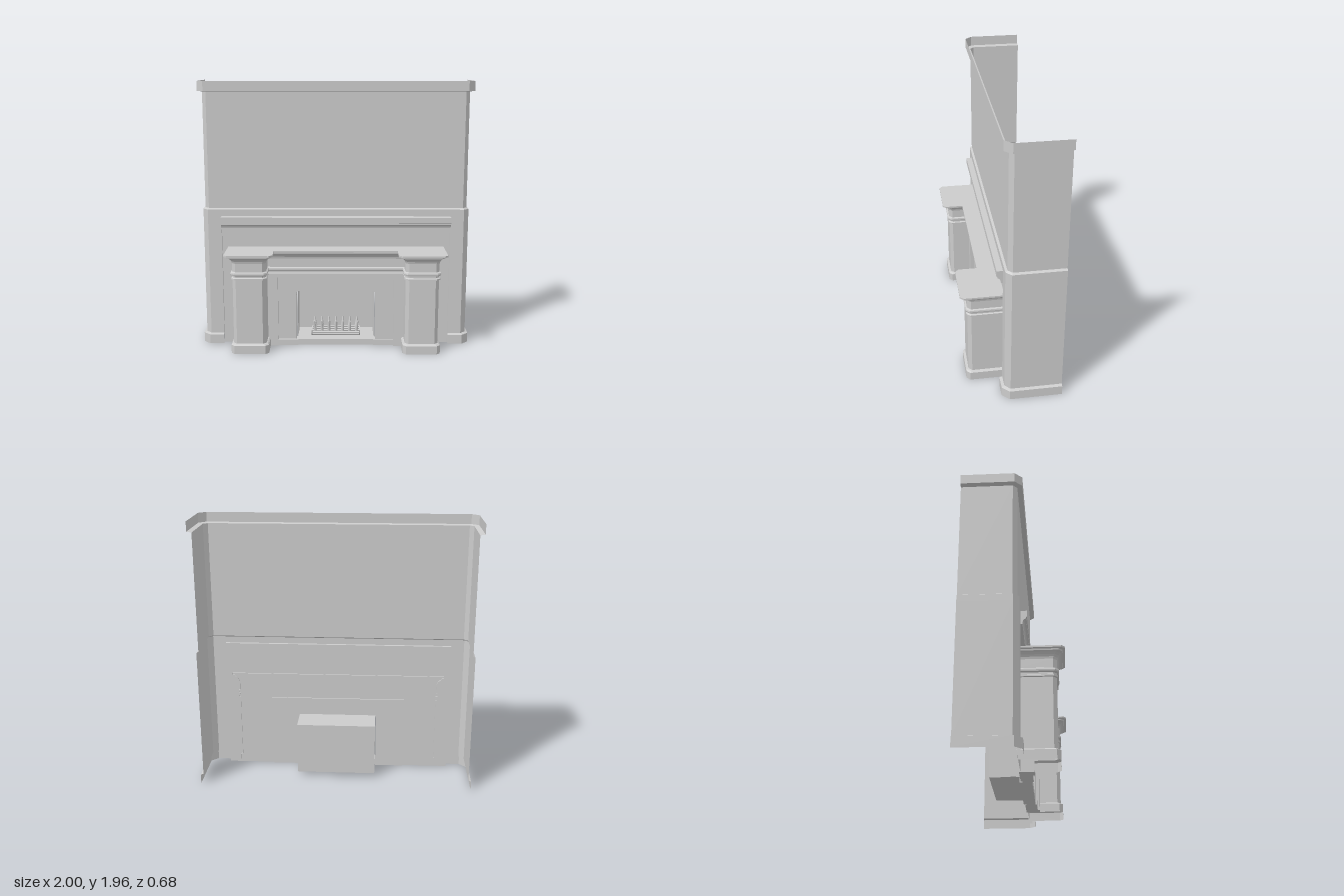
import * as THREE from 'three';

const mat = new THREE.MeshStandardMaterial({ color: 0xcccccc, side: THREE.DoubleSide });

export function createModel() {
  const root = new THREE.Group();

  const add = (name, geo, x = 0, y = 0, z = 0) => {
    const m = new THREE.Mesh(geo, mat);
    m.name = name;
    m.position.set(x, y, z);
    root.add(m);
    return m;
  };

  // box given by its limits
  const box = (name, x0, x1, y0, y1, z0, z1) =>
    add(name, new THREE.BoxGeometry(x1 - x0, y1 - y0, z1 - z0), (x0 + x1) / 2, (y0 + y1) / 2, (z0 + z1) / 2);

  // moulding: plan(d) gives the [x, z] outline pushed out by d, profile lists [d, y] going up
  const sweep = (name, plan, profile) => {
    const pos = [];
    for (let j = 0; j < profile.length - 1; j++) {
      const [d0, y0] = profile[j], [d1, y1] = profile[j + 1];
      const lo = plan(d0), hi = plan(d1);
      for (let i = 0; i < lo.length - 1; i++) {
        const a = [lo[i][0], y0, lo[i][1]], b = [lo[i + 1][0], y0, lo[i + 1][1]];
        const c = [hi[i + 1][0], y1, hi[i + 1][1]], e = [hi[i][0], y1, hi[i][1]];
        pos.push(...a, ...b, ...c, ...a, ...c, ...e);
      }
    }
    const g = new THREE.BufferGeometry();
    g.setAttribute('position', new THREE.Float32BufferAttribute(pos, 3));
    g.computeVertexNormals();
    return add(name, g);
  };

  const mirror = (half) => half.slice().reverse().map(([x, z]) => [-x, z]);
  const shape = (pts) => new THREE.Shape(pts.map(([x, y]) => new THREE.Vector2(x, y)));
  const slab = (name, s, z0, z1) =>
    add(name, new THREE.ExtrudeGeometry(s, { depth: z1 - z0, bevelEnabled: false, curveSegments: 5 }), 0, 0, z0);
  // upright frame, open at the foot
  const arch = (W, H, w, h) =>
    shape([[-W, 0], [-w, 0], [-w, h], [w, h], [w, 0], [W, 0], [W, H], [-W, H]]);

  // chimney breast: chamfered shell, open behind, above and below
  const R = 0.845, RT = 0.98;
  const corner = (d) => [[0.95 - 0.41 * d, 0.08 - d], [1 - d, 0.03 - 0.41 * d], [1 - d, -0.34]];
  const wallPlan = (d) => [...mirror(corner(d)), ...corner(d)];
  const sidePlan = (d) => [[R, 0.08 - d], ...corner(d)];
  const lower = [[0, 0], [0, 0.07], [0.02, 0.078], [0.02, RT]];
  sweep('lowerWallLeft', sidePlan, lower);
  sweep('lowerWallRight', (d) => mirror(sidePlan(d)), lower);
  sweep('upperWall', wallPlan, [[0.02, RT], [0.02, 1.028], [0.035, 1.038], [0.035, 1.885]]);
  sweep('crown', wallPlan, [[0.035, 1.885], [0, 1.89], [0, 1.96]]);

  // shallow recess behind the mantel
  add('recessPanel', new THREE.ShapeGeometry(arch(R, RT, 0.43, 0.53)), 0, 0, 0.04);
  for (const s of [-1, 1]) box('recessJamb', s * R - 0.001, s * R + 0.001, 0, RT, 0.04, 0.06);
  box('recessHead', -R, R, RT - 0.001, RT + 0.001, 0.04, 0.06);

  // narrow moulded ledge
  const ledge = shape([[0.04, 0.88], [0.073, 0.88], [0.073, 0.892], [0.077, 0.905], [0.085, 0.915],
    [0.096, 0.92], [0.096, 0.93], [0.102, 0.932], [0.102, 0.975], [0.04, 0.975]]);
  const ledgeGeo = new THREE.ExtrudeGeometry(ledge, { depth: 2 * R, bevelEnabled: false });
  ledgeGeo.translate(0, 0, -R);
  ledgeGeo.rotateY(-Math.PI / 2);
  add('ledge', ledgeGeo);

  // mantel columns
  const c = 0.025;
  const columnPlan = (d) => [[0.505 - d, 0.04], [0.505 - d, 0.285 + d - c], [0.505 - d + c, 0.285 + d],
    [0.745 + d - c, 0.285 + d], [0.745 + d, 0.285 + d - c], [0.745 + d, 0.03]];
  const columnProfile = [[0.017, 0], [0.017, 0.062], [0.008, 0.07], [0, 0.073], [0, 0.552]];
  sweep('columnLeft', columnPlan, columnProfile);
  sweep('columnRight', (d) => mirror(columnPlan(d)), columnProfile);

  // entablature following both columns and the frieze between them
  const halfPlan = (d) => [[0.505 - d, 0.13 + d], ...columnPlan(d).slice(1)];
  const mantelPlan = (d) => [...mirror(halfPlan(d)), ...halfPlan(d)];
  sweep('entablature', mantelPlan, [
    [0, 0.55], [0.008, 0.553], [0.008, 0.564], [0, 0.57], [0, 0.582], [0.012, 0.587], [0.014, 0.597],
    [0.012, 0.607], [0.002, 0.613], [0.002, 0.675], [0.006, 0.69], [0.014, 0.703], [0.026, 0.714],
    [0.038, 0.72], [0.04, 0.73], [0.055, 0.733], [0.055, 0.745]]);
  const top = new THREE.ShapeGeometry(shape(mantelPlan(0.055)));
  top.rotateX(Math.PI / 2);
  add('mantelTop', top, 0, 0.745, 0);

  // frame between the columns
  slab('mantelFrame', arch(0.506, 0.551, 0.43, 0.53), 0.03, 0.13);

  // inner surround with a softly rounded opening
  const w = 0.295, h = 0.42, r = 0.025;
  const surround = new THREE.Shape();
  surround.moveTo(-0.43, 0);
  surround.lineTo(-w, 0);
  surround.lineTo(-w, h - r);
  surround.quadraticCurveTo(-w, h, -w + r, h);
  surround.lineTo(w - r, h);
  surround.quadraticCurveTo(w, h, w, h - r);
  surround.lineTo(w, 0);
  surround.lineTo(0.43, 0);
  surround.lineTo(0.43, 0.53);
  surround.lineTo(-0.43, 0.53);
  slab('surround', surround, 0.03, 0.1);
  for (const s of [-1, 1]) box('surroundPlinth', s * 0.355 - 0.075, s * 0.355 + 0.075, 0, 0.045, 0.04, 0.115);

  // firebox built of thin plates
  const t = 0.004, b = 0.288;
  box('hearth', -0.28, 0.28, 0, 0.045, 0.02, 0.105);
  box('fireboxFloor', -b, b, 0.035, 0.04, -0.18, 0.03);
  box('fireboxTop', -b, b, h - t, h, -0.18, 0.03);
  box('fireboxBack', -b, b, 0.04, h, -0.18, -0.18 + t);
  for (const s of [-1, 1]) box('fireboxSide', s * b - t / 2, s * b + t / 2, 0.04, h, -0.18, 0.03);

  // grate: barred trough with upright fingers
  const gz = 0.01;
  const bar = new THREE.CylinderGeometry(0.006, 0.006, 0.36, 8);
  bar.rotateZ(Math.PI / 2);
  for (let i = 0; i <= 8; i++) {
    const a = Math.PI * (1 + i / 8);
    add('grateBar', bar, 0, 0.1 + 0.048 * Math.sin(a), gz + 0.05 * Math.cos(a));
  }
  for (const s of [-1, 1]) {
    const end = new THREE.CylinderGeometry(0.054, 0.054, 0.008, 16, 1, false, 0, Math.PI);
    end.rotateZ(Math.PI / 2);
    const half = new THREE.Shape();
    half.absarc(0, 0, 0.054, Math.PI, 2 * Math.PI, false);
    const endGeo = new THREE.ExtrudeGeometry(half, { depth: 0.008, bevelEnabled: false, curveSegments: 10 });
    endGeo.translate(0, 0, -0.004);
    endGeo.rotateY(-Math.PI / 2);
    add('grateEnd', endGeo, s * 0.18, 0.1, gz);
  }
  const finger = new THREE.CylinderGeometry(0.006, 0.013, 0.08, 8);
  for (let i = -3; i <= 3; i++) {
    for (const s of [-1, 1]) {
      const f = add('grateFinger', finger, i * 0.053, 0.135, gz + s * 0.053);
      f.rotation.x = s * 0.15;
      f.rotation.z = -i * 0.04;
    }
  }
  return root;
}
